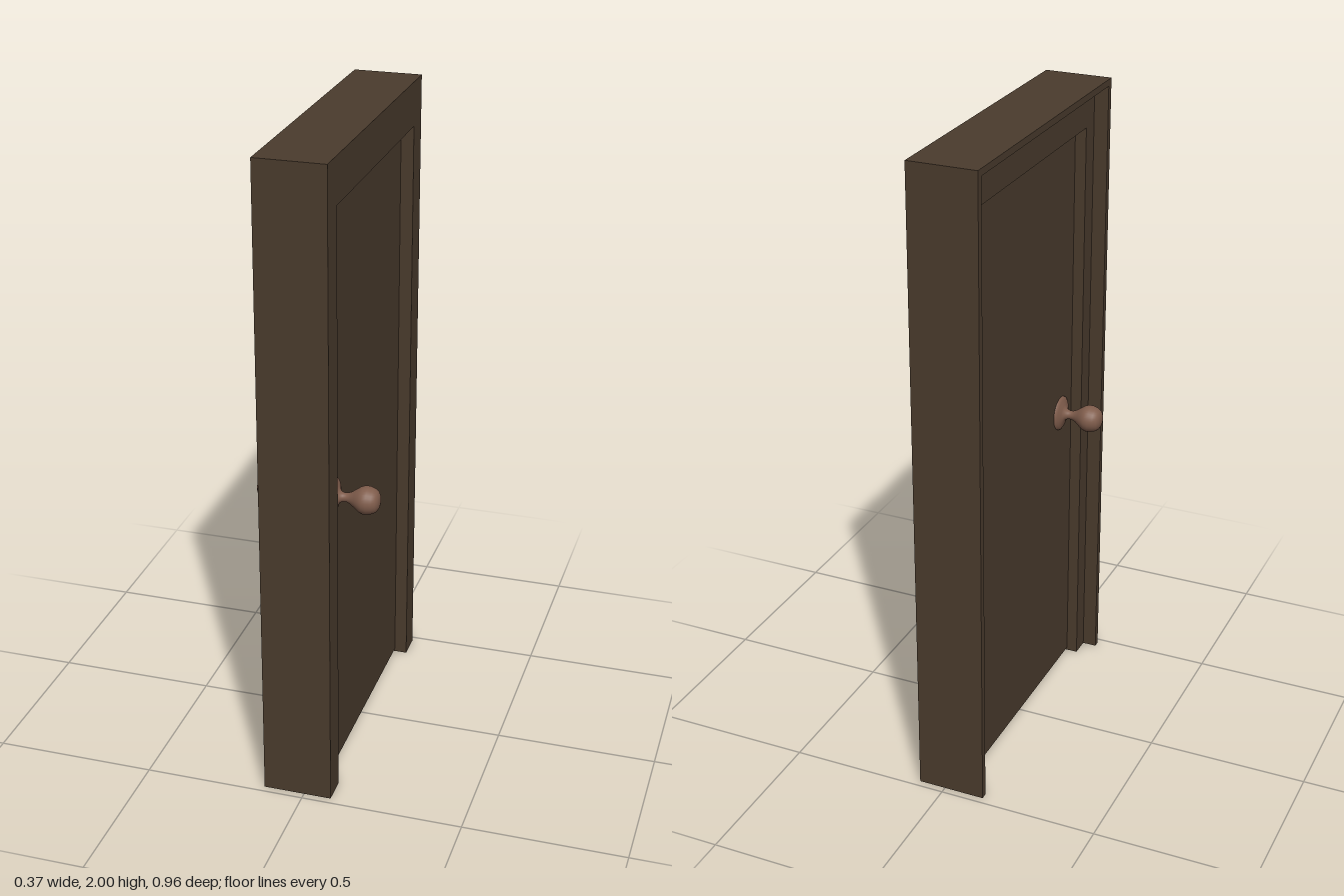
import * as THREE from 'three';

const wood = new THREE.MeshStandardMaterial({ color: 0x4a3b2d });
wood.name = 'darkWood';
const copper = new THREE.MeshStandardMaterial({ color: 0x805d4c });
copper.name = 'copper';

const HALF = 0.478, TOP = 2;

// Upside-down U outline, extruded along x from x0 to x1
function archway(name, openHalf, openTop, x0, x1) {
  const s = new THREE.Shape([
    [-HALF, 0], [-openHalf, 0], [-openHalf, openTop], [openHalf, openTop],
    [openHalf, 0], [HALF, 0], [HALF, TOP], [-HALF, TOP],
  ].map(([a, b]) => new THREE.Vector2(a, b)));
  const g = new THREE.ExtrudeGeometry(s, { depth: x1 - x0, bevelEnabled: false });
  g.rotateY(Math.PI / 2).translate(x0, 0, 0);
  const m = new THREE.Mesh(g, wood);
  m.name = name;
  return m;
}

// Rose plate, flared neck and rounded grip as one turned profile
function knob(name, side) {
  const rose = [[0.055, 0], [0.054, 0.004], [0.046, 0.009], [0.03, 0.014], [0.018, 0.02]];
  const grip = [[0.014, 0.03], [0.014, 0.042], [0.019, 0.054], [0.029, 0.068], [0.038, 0.081],
    [0.0425, 0.093], [0.0425, 0.106], [0.038, 0.121], [0.031, 0.132], [0.02, 0.138], [0.01, 0.14], [0, 0.1405]];
  const pts = [...rose, ...grip].map(([r, h]) => new THREE.Vector2(r, h));
  const g = new THREE.LatheGeometry(pts, 32);
  g.rotateZ(-side * Math.PI / 2);
  const m = new THREE.Mesh(g, copper);
  m.name = name;
  m.position.set(-0.001 + side * 0.046, 0.945, 0.305);
  return m;
}

export function createModel() {
  const model = new THREE.Group();
  model.name = 'door';

  // Frame: deep jamb and a thin rim forming the rebate
  const frame = new THREE.Group();
  frame.name = 'frame';
  frame.add(archway('jamb', 0.395, 1.862, -0.082, 0.085));
  frame.add(archway('rebateRim', 0.457, 1.979, -0.127, -0.082));
  model.add(frame);

  // Door leaf with small gaps above and below
  const leaf = new THREE.Mesh(new THREE.BoxGeometry(0.092, 1.847, 0.788), wood);
  leaf.name = 'doorLeaf';
  leaf.position.set(-0.001, 0.01 + 1.847 / 2, 0);
  model.add(leaf);

  model.add(knob('leftKnob', 1), knob('rightKnob', -1));
  return model;
}
